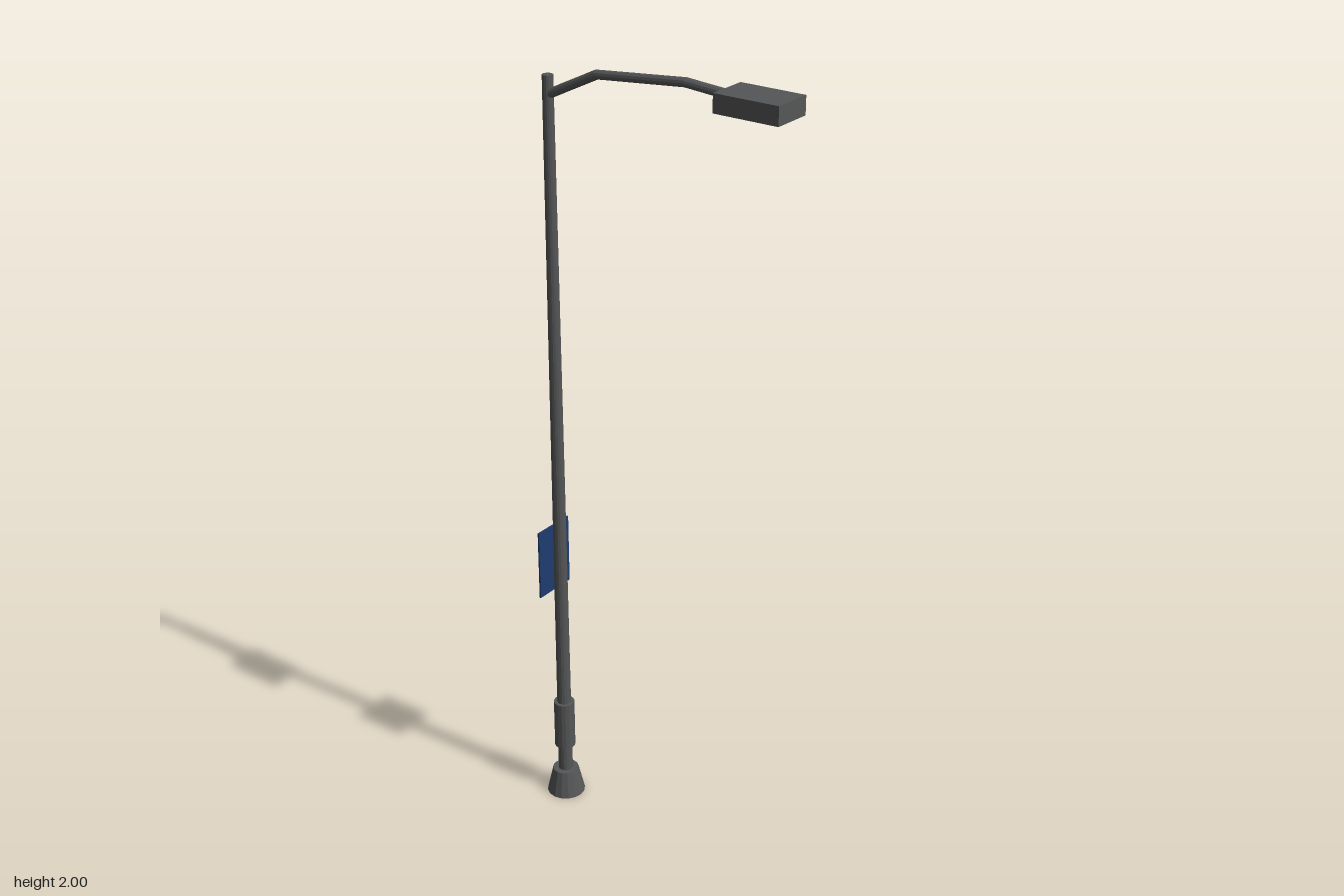
import * as THREE from 'three';

const POLE_Z = -0.298;
const metal = new THREE.MeshStandardMaterial({ color: 0x555657, flatShading: true });
const blue = new THREE.MeshStandardMaterial({ color: 0x1f3c70 });

function part(name, geometry, material, x, y, z) {
  const mesh = new THREE.Mesh(geometry, material);
  mesh.name = name;
  mesh.position.set(x, y, z);
  return mesh;
}

// Upright tapered cylinder on the pole axis, given by its lower and upper heights
function column(name, rBottom, rTop, y0, y1, sides = 16) {
  const geometry = new THREE.CylinderGeometry(rTop, rBottom, y1 - y0, sides);
  return part(name, geometry, metal, 0, (y0 + y1) / 2, POLE_Z);
}

// Round bar bent along [z, y] points, with mitred joints
function bentBar(points, radius) {
  const n = points.length - 1;
  const path = points.map(([z, y]) => new THREE.Vector2(z, y));
  const geometry = new THREE.CylinderGeometry(radius, radius, 1, 12, n);
  const pos = geometry.attributes.position;
  for (let i = 0; i < pos.count; i++) {
    const k = Math.round((pos.getY(i) + 0.5) * n);
    const before = path[k].clone().sub(path[Math.max(k - 1, 0)]).normalize();
    const after = path[Math.min(k + 1, n)].clone().sub(path[k]).normalize();
    const dir = before.add(after).normalize();
    const offset = pos.getZ(i);
    pos.setXYZ(i, pos.getX(i), path[k].y - dir.x * offset, path[k].x + dir.y * offset);
  }
  // The bar runs along +z, so the cross-section keeps its handedness
  geometry.computeVertexNormals();
  return geometry;
}

export function createModel() {
  const lamp = new THREE.Group();
  lamp.name = 'streetLamp';

  // Foot, shaft and access sleeve
  lamp.add(column('base', 0.05, 0.034, 0, 0.07));
  lamp.add(column('pole', 0.019, 0.013, 0.03, 1.945));
  lamp.add(column('sleeve', 0.027, 0.027, 0.145, 0.28));

  // Arm reaching forward to the lamp head
  const armPath = [[POLE_Z, 1.9], [-0.159, 1.967], [0.078, 1.989], [0.2, 1.98]];
  lamp.add(part('arm', bentBar(armPath, 0.011), metal, 0, 0, 0));
  lamp.add(part('lampHead', new THREE.BoxGeometry(0.102, 0.043, 0.162), metal, 0, 1.974, 0.264));

  // Sign plate on the back of the pole
  lamp.add(part('signPlate', new THREE.BoxGeometry(0.116, 0.185, 0.004), blue, 0, 0.707, POLE_Z - 0.021));

  return lamp;
}
